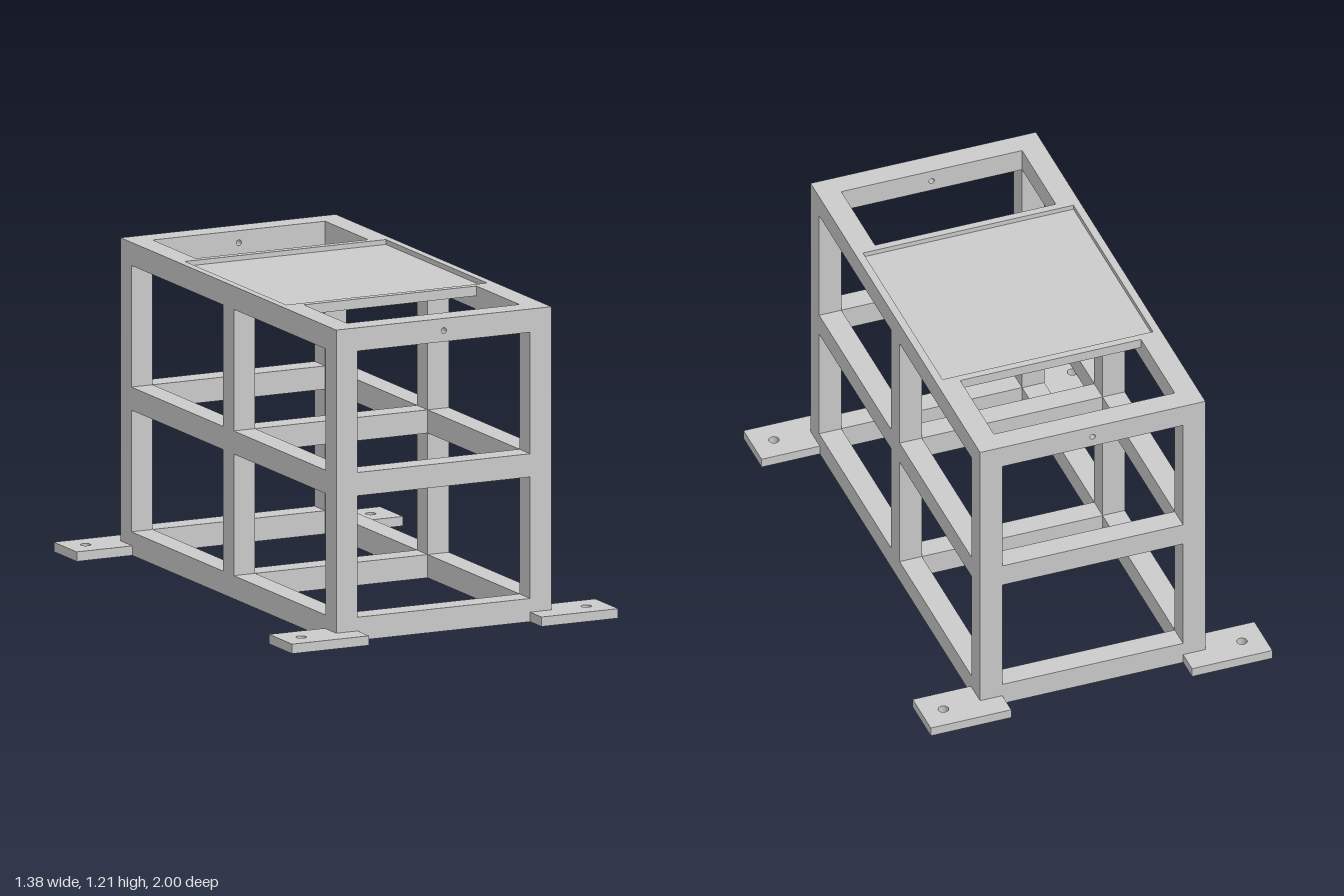
import * as THREE from 'three';

const W = 0.455, L = 0.905, H = 1.21, T = 0.09; // half width, half length, height, beam size
const TRAY_BOTTOM = 1.172, TRAY_FLOOR = 1.191;
const material = new THREE.MeshStandardMaterial({ color: 0xcccccc, flatShading: true });

const polygon = (points) => new THREE.Shape(points.map(([x, y]) => new THREE.Vector2(x, y)));
const rect = (x0, y0, x1, y1) => polygon([[x0, y0], [x1, y0], [x1, y1], [x0, y1]]);

function circle(x, y, r) {
  const path = new THREE.Path();
  path.absarc(x, y, r, 0, Math.PI * 2, true);
  return path;
}

function extrude(shape, depth) {
  return new THREE.ExtrudeGeometry(shape, { depth, bevelEnabled: false, curveSegments: 16 });
}

// Extrusion lying flat, rising from height y0 to y1
function slab(shape, y0, y1) {
  return extrude(shape, y1 - y0).rotateX(-Math.PI / 2).translate(0, y0, 0);
}

export function createModel() {
  const group = new THREE.Group();
  const add = (name, geometry) => {
    const mesh = new THREE.Mesh(geometry, material);
    mesh.name = name;
    group.add(mesh);
  };
  const inX = W - T, inZ = L - T;
  const rows = [[T, 0.56], [0.65, H - T]]; // window heights

  // End frames: two windows and a small hole in the top beam
  const end = rect(-W, 0, W, H);
  for (const [y0, y1] of rows) end.holes.push(rect(-inX, y0, inX, y1));
  end.holes.push(circle(0, 1.163, 0.011));
  add('frontFrame', extrude(end, T).translate(0, 0, inZ));
  add('backFrame', extrude(end, T).translate(0, 0, -L));

  // Side frames: four windows around a middle post
  const side = rect(-inZ, 0, inZ, TRAY_BOTTOM);
  for (const [y0, y1] of rows) {
    side.holes.push(rect(-inZ + 0.0005, y0, -T / 2, y1), rect(T / 2, y0, inZ - 0.0005, y1));
  }
  const sideGeometry = extrude(side, T).rotateY(Math.PI / 2);
  add('leftFrame', sideGeometry.clone().translate(inX, 0, 0));
  add('rightFrame', sideGeometry.clone().translate(-W, 0, 0));

  // Top rails joined by a thin tray, with a shallow square recess
  const deck = () => {
    const half = [[-W, -inZ], [-inX, -inZ], [-inX, -W], [inX, -W], [inX, -inZ], [W, -inZ]];
    return polygon([...half, ...half.map(([x, y]) => [-x, -y])]);
  };
  add('trayFloor', slab(deck(), TRAY_BOTTOM, TRAY_FLOOR));
  const rim = deck();
  rim.holes.push(rect(-0.425, -0.425, 0.425, 0.425));
  add('trayRim', slab(rim, TRAY_FLOOR, H));

  // Cross beams between the middle posts
  for (const [name, y] of [['lowerCrossBeam', T / 2], ['middleCrossBeam', 0.605]]) {
    add(name, new THREE.BoxGeometry(inX * 2, T, T).translate(0, y, 0));
  }

  // Four mounting feet with bolt holes
  for (const sx of [-1, 1]) {
    for (const sz of [-1, 1]) {
      const x0 = sx > 0 ? inX : -0.69, z0 = sz > 0 ? 0.807 : -1;
      const foot = rect(x0, z0, x0 + 0.69 - inX, z0 + 0.193);
      foot.holes.push(circle(sx * 0.603, sz * 0.905, 0.02));
      add((sz < 0 ? 'front' : 'back') + (sx > 0 ? 'Left' : 'Right') + 'Foot', slab(foot, 0, 0.037));
    }
  }
  return group;
}
